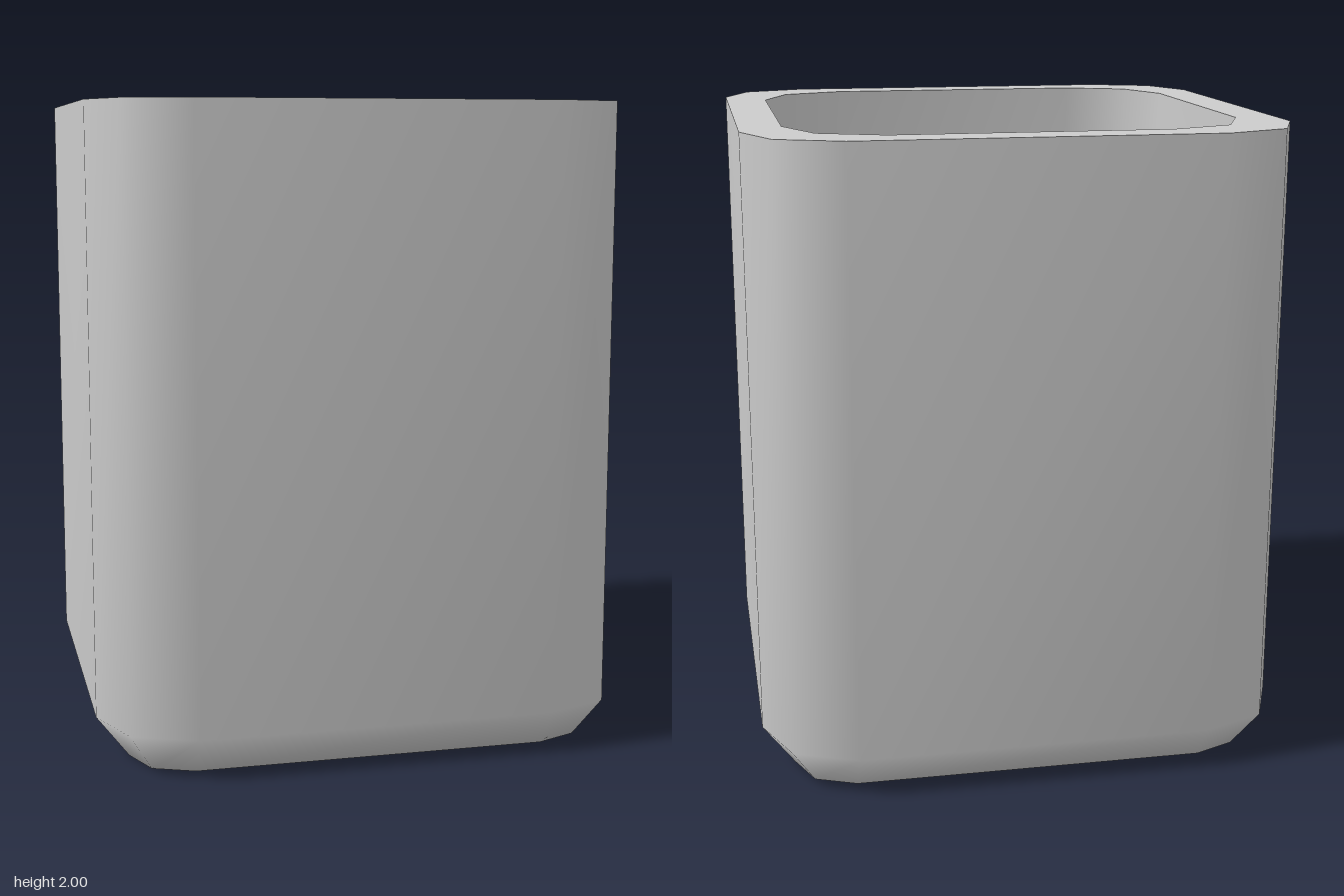
import * as THREE from 'three';

// Rounded-square ring: straight sides to +-core, corners cut in two facets
function ring(core, radius, y) {
  const points = [];
  for (let corner = 0; corner < 4; corner++) {
    const mid = Math.PI / 4 + corner * Math.PI / 2;
    const cx = Math.sign(Math.cos(mid)) * core;
    const cz = -Math.sign(Math.sin(mid)) * core;
    for (let s = -1; s <= 1; s++) {
      const a = mid + s * Math.PI / 4;
      points.push([cx + Math.cos(a) * radius, y, cz - Math.sin(a) * radius]);
    }
  }
  return points;
}

// Skin consecutive rings; optionally close the first or the last one
function skin(rings, cap) {
  const n = rings[0].length;
  const index = [];
  for (let r = 0; r < rings.length - 1; r++) {
    for (let i = 0; i < n; i++) {
      const a = r * n + i, b = r * n + (i + 1) % n;
      index.push(a, b, b + n, a, b + n, a + n);
    }
  }
  const last = (rings.length - 1) * n;
  for (let i = 1; i < n - 1; i++) {
    if (cap === 'first') index.push(0, i + 1, i);
    if (cap === 'last') index.push(last, last + i, last + i + 1);
  }
  const geometry = new THREE.BufferGeometry();
  geometry.setAttribute('position', new THREE.Float32BufferAttribute(rings.flat(2), 3));
  geometry.setIndex(index);
  geometry.computeVertexNormals();
  return geometry;
}

export function createModel() {
  const group = new THREE.Group();
  group.name = 'squareCup';
  const material = new THREE.MeshStandardMaterial({ color: 0xcccccc });

  const wall = 0.13, height = 2, bevel = 0.13;
  const outer = 0.55, inner = outer - wall;
  const radius = 0.28, footRadius = 0.18;

  const parts = {
    // Outside walls with bevelled foot and underside
    outerShell: skin([
      ring(outer, footRadius, 0), ring(outer, radius, bevel), ring(outer, radius, height),
    ], 'first'),
    // Flat top edge
    rim: skin([ring(outer, radius, height), ring(inner, radius, height)]),
    // Hollow interior with bevelled floor
    innerShell: skin([
      ring(inner, radius, height), ring(inner, radius, wall + bevel), ring(inner, footRadius, wall),
    ], 'last'),
  };
  for (const [name, geometry] of Object.entries(parts)) {
    const mesh = new THREE.Mesh(geometry, material);
    mesh.name = name;
    group.add(mesh);
  }
  return group;
}
